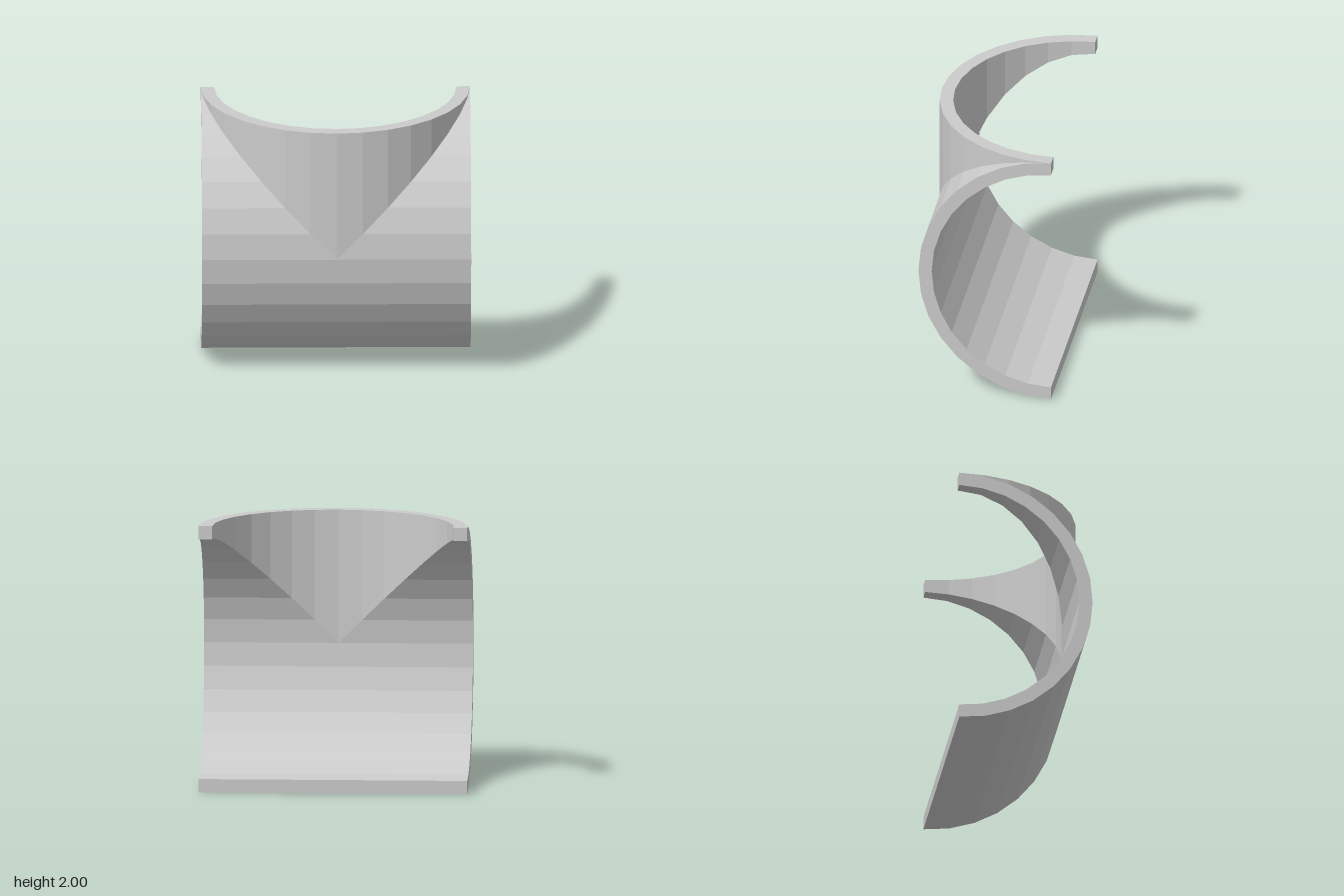
import * as THREE from 'three';

const OUTER = 1, INNER = 0.9, STEP = Math.PI / 16, BACK = -0.5;

// One arm of a half pipe, running along t from its mitred start to the open end at t = 1.
// place(t, h) turns the axial and radial positions into x and height above the axis.
function pipeArm(name, firstStep, place, mirrored, material) {
  const positions = [];
  const point = (r, i, atEnd) => {
    const h = r * Math.sin(i * STEP);
    const z = Math.abs(i) === 8 ? BACK : BACK + r * Math.cos(i * STEP);
    const [x, y] = place(atEnd ? 1 : Math.max(0, h), h);
    return [x, 1 + y, z];
  };
  const quad = (a, b, c, d) => {
    const corners = mirrored ? [a, c, b, a, d, c] : [a, b, c, a, c, d];
    corners.forEach((p) => positions.push(...p));
  };
  for (let i = firstStep; i < 8; i++) {
    const j = i + 1;
    // outer wall, inner wall, end rim
    quad(point(OUTER, i, false), point(OUTER, i, true), point(OUTER, j, true), point(OUTER, j, false));
    quad(point(INNER, j, false), point(INNER, j, true), point(INNER, i, true), point(INNER, i, false));
    quad(point(OUTER, i, true), point(INNER, i, true), point(INNER, j, true), point(OUTER, j, true));
  }
  // cut faces along the flat back
  quad(point(INNER, 8, true), point(INNER, 8, false), point(OUTER, 8, false), point(OUTER, 8, true));
  if (firstStep === -8) {
    quad(point(OUTER, -8, true), point(OUTER, -8, false), point(INNER, -8, false), point(INNER, -8, true));
  }
  const geometry = new THREE.BufferGeometry();
  geometry.setAttribute('position', new THREE.Float32BufferAttribute(positions, 3));
  geometry.computeVertexNormals();
  const mesh = new THREE.Mesh(geometry, material);
  mesh.name = name;
  return mesh;
}

export function createModel() {
  const group = new THREE.Group();
  group.name = 'halfPipeTee';
  const material = new THREE.MeshStandardMaterial({ color: 0xcccccc, flatShading: true });
  group.add(
    // horizontal run
    pipeArm('leftRun', -8, (t, h) => [t, h], false, material),
    pipeArm('rightRun', -8, (t, h) => [-t, h], true, material),
    // upright branch, meeting the run on the diagonals
    pipeArm('leftBranch', 0, (t, h) => [h, t], true, material),
    pipeArm('rightBranch', 0, (t, h) => [-h, t], false, material)
  );
  return group;
}
